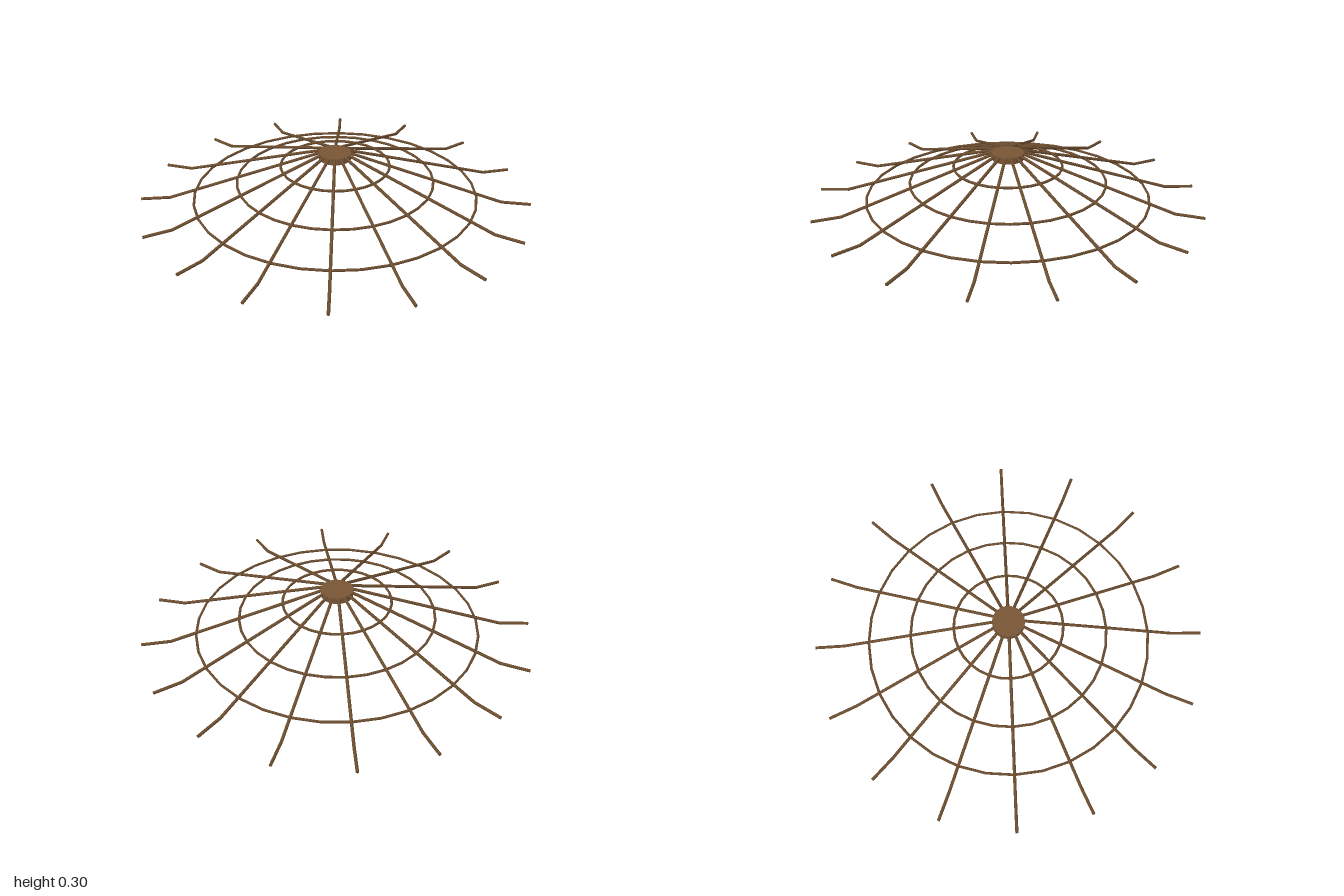
import * as THREE from 'three';

const hubWood = new THREE.MeshStandardMaterial({ color: 0x785635 });
hubWood.name = 'hub wood';
const frameWood = new THREE.MeshStandardMaterial({ color: 0x6c4d2f });
frameWood.name = 'frame wood';

// Round rod between two points
function rod(name, a, b, radius) {
  const dir = b.clone().sub(a);
  const mesh = new THREE.Mesh(new THREE.CylinderGeometry(radius, radius, dir.length(), 8), frameWood);
  mesh.position.copy(a).add(b).multiplyScalar(0.5);
  mesh.quaternion.setFromUnitVectors(new THREE.Vector3(0, 1, 0), dir.normalize());
  mesh.name = name;
  return mesh;
}

export function createModel() {
  const model = new THREE.Group();
  model.name = 'roofFrame';

  // Central disc
  const hub = new THREE.Mesh(new THREE.CylinderGeometry(0.083, 0.083, 0.034, 24), hubWood);
  hub.position.y = 0.281;
  hub.name = 'hub';
  model.add(hub);

  // Sixteen sloping ribs, each with a flatter outer end
  const start = new THREE.Vector3(0.08, 0.293, 0);
  const bend = new THREE.Vector3(0.866, 0.02, 0);
  const tip = new THREE.Vector3(1.018, 0.0085, 0);
  const count = 16;
  for (let i = 0; i < count; i++) {
    const rib = new THREE.Group();
    rib.name = 'rib';
    rib.add(rod('ribSlope', start, bend, 0.008));
    rib.add(rod('ribEnd', bend, tip, 0.008));
    // Rounded elbow closing the joint
    const elbow = new THREE.Mesh(new THREE.SphereGeometry(0.008, 8, 6), frameWood);
    elbow.position.copy(bend);
    elbow.name = 'ribElbow';
    rib.add(elbow);
    rib.rotation.y = ((i + 0.5) / count) * Math.PI * 2;
    model.add(rib);
  }

  // Three hoops tying the ribs together
  for (const [radius, y] of [[0.28, 0.224], [0.507, 0.138], [0.733, 0.053]]) {
    const ring = new THREE.Mesh(new THREE.TorusGeometry(radius, 0.0068, 6, 32), frameWood);
    ring.rotation.x = Math.PI / 2;
    ring.position.y = y;
    ring.name = 'ring';
    model.add(ring);
  }
  return model;
}
